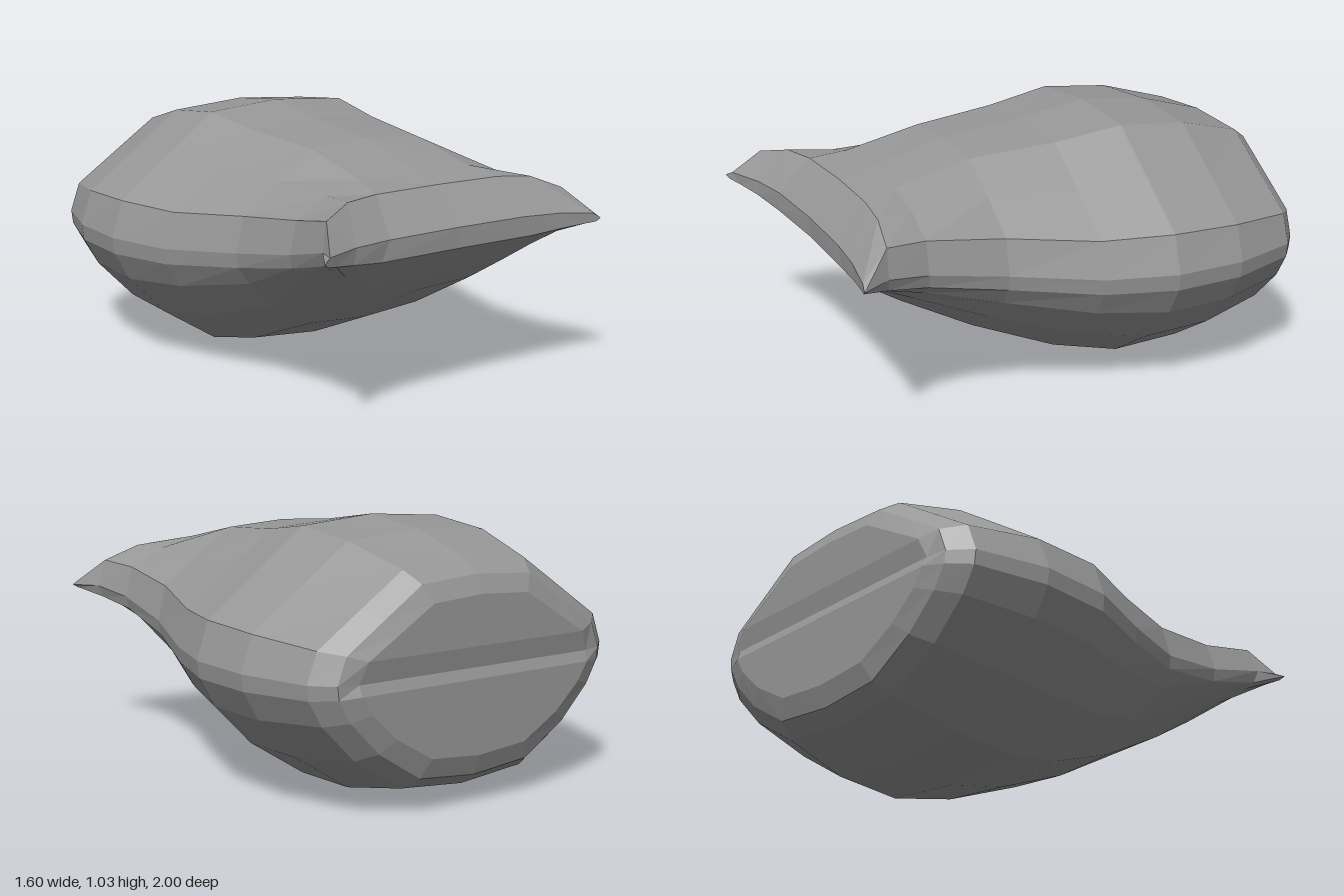
import * as THREE from 'three';

// Half cross-sections from top centre to bottom centre: [share of half width, share of height from the side line]
const ROUND = [[0, 1], [0.41, 0.95], [0.68, 0.63], [0.94, 0.32], [1, 0.03], [0.99, -0.1], [0.91, -0.32], [0.71, -0.64], [0.41, -0.94], [0, -1]];
const FLAT = [[0, 1], [0.47, 1], [0.72, 0.95], [0.95, 0.68], [1, 0.05], [0.97, -0.25], [0.89, -0.4], [0.74, -0.65], [0.53, -0.95], [0, -1]];

// Stations back to front: z, top, bottom, half width, side height, flatness, corner flare
const STATIONS = [
  [-1.00, 0.80, 0.20, 0.54, 0.52, 0, 0],
  [-0.97, 0.87, 0.12, 0.62, 0.52, 0, 0],
  [-0.90, 0.92, 0.07, 0.70, 0.52, 0, 0],
  [-0.62, 1.00, 0.01, 0.79, 0.52, 0, 0],
  [-0.33, 1.03, 0.00, 0.80, 0.52, 0, 0],
  [-0.05, 0.985, 0.07, 0.72, 0.52, 0.05, 0],
  [0.30, 0.95, 0.22, 0.61, 0.56, 0.2, 0],
  [0.61, 0.87, 0.40, 0.59, 0.62, 0.6, 0.02],
  [0.74, 0.84, 0.50, 0.63, 0.67, 1, 0.15],
  [0.865, 0.70, 0.62, 0.695, 0.67, 1, 0.13],
];

function stationPoint([z, top, bottom, half, side, flat, flare], i, sign) {
  const u = THREE.MathUtils.lerp(ROUND[i][0], FLAT[i][0], flat);
  const v = THREE.MathUtils.lerp(ROUND[i][1], FLAT[i][1], flat);
  const y = side + v * (v > 0 ? top - side : side - bottom);
  // The right lip corner reaches further forward and higher than the left one
  const pull = flare * u ** 3;
  // Shallow crease across the back
  const crease = z === -1 && i === 4 ? 0.015 : 0;
  return [sign * half * u, y - sign * pull * 0.15, z + pull * (sign < 0 ? 1 : 0.35) + crease];
}

function sackGeometry() {
  const last = ROUND.length - 1;
  const count = last * 2;
  const positions = [];
  const index = [];
  for (const station of STATIONS) {
    for (let k = 0; k < count; k++) {
      positions.push(...stationPoint(station, k <= last ? k : count - k, k <= last ? 1 : -1));
    }
  }
  // Skin between neighbouring stations
  for (let j = 0; j < STATIONS.length - 1; j++) {
    for (let k = 0; k < count; k++) {
      const a = j * count + k;
      const b = j * count + (k + 1) % count;
      index.push(a, a + count, b + count, a, b + count, b);
    }
  }
  // Level strips from side to side close the back
  for (let i = 0; i < last; i++) {
    const r0 = i, r1 = i + 1;
    const l0 = (count - i) % count, l1 = count - i - 1;
    if (l1 !== r1) index.push(l0, r1, l1);
    if (l0 !== r0) index.push(l0, r0, r1);
  }
  // Upright strips close the pressed front lip along its curve
  const lip = (STATIONS.length - 1) * count;
  const half = (last - 1) / 2;
  for (let i = 0; i < half; i++) {
    const t0 = i, t1 = i + 1, b0 = last - i, b1 = last - i - 1;
    const mirror = (k) => (count - k) % count;
    for (const [a, b, c] of [[t0, b0, b1], [t0, b1, t1]]) {
      index.push(lip + a, lip + b, lip + c);
      index.push(lip + mirror(a), lip + mirror(c), lip + mirror(b));
    }
  }

  const geometry = new THREE.BufferGeometry();
  geometry.setAttribute('position', new THREE.Float32BufferAttribute(positions, 3));
  geometry.setIndex(index);
  const faceted = geometry.toNonIndexed();
  faceted.computeVertexNormals();
  return faceted;
}

export function createModel() {
  const group = new THREE.Group();
  group.name = 'sack';
  const body = new THREE.Mesh(
    sackGeometry(),
    new THREE.MeshStandardMaterial({ color: 0x979797, flatShading: true }),
  );
  body.name = 'sackBody';
  group.add(body);
  return group;
}
